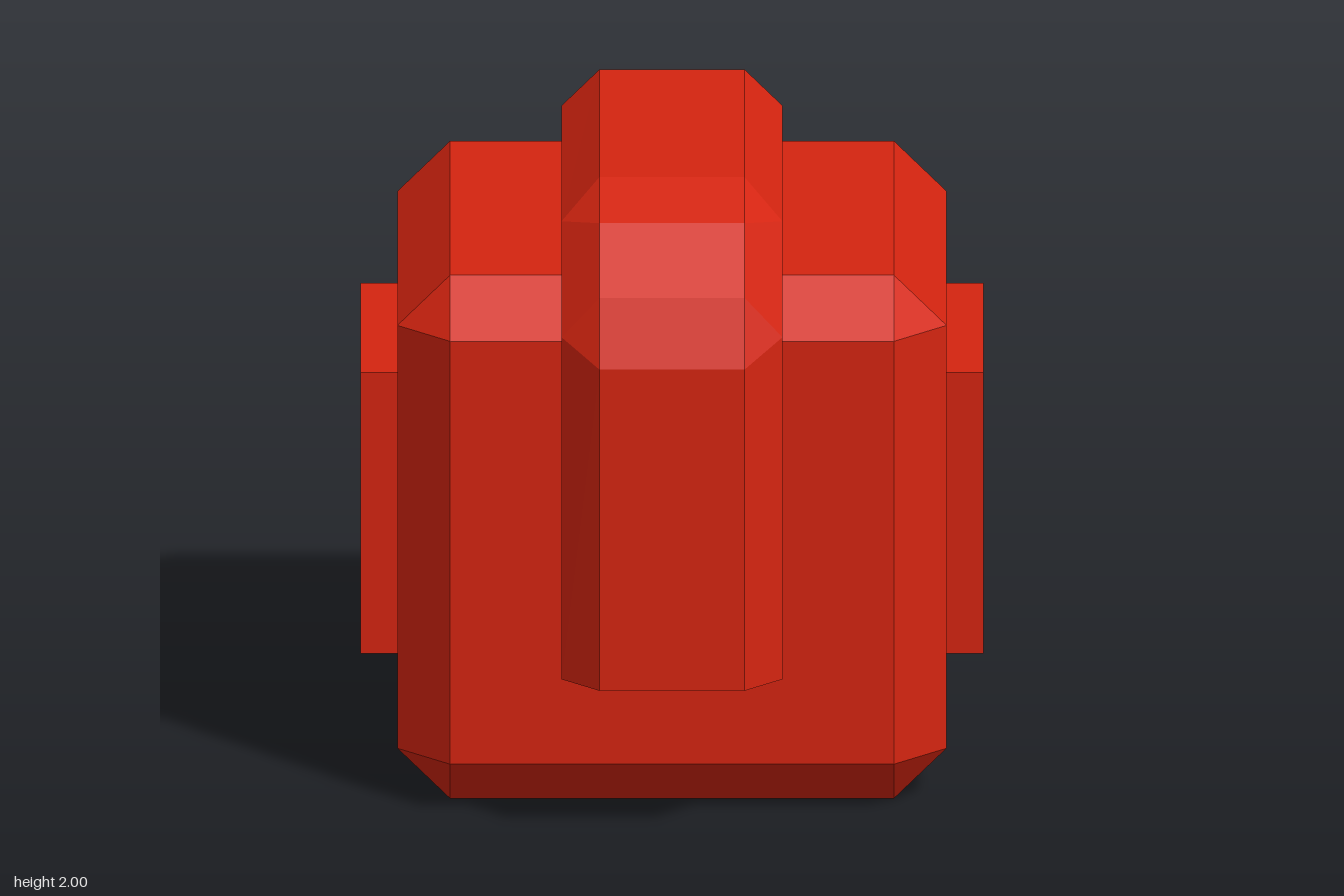
import * as THREE from 'three';
import { ConvexGeometry } from 'three/addons/geometries/ConvexGeometry.js';

// Flat-faced skin over rings of [x, y, z] points, with fan caps at the chosen ends
function loft(rings, closed, capStart) {
  const pos = [];
  const tri = (a, b, c) => pos.push(...a, ...b, ...c);
  const n = rings[0].length;
  for (let i = 0; i < rings.length - 1; i++) {
    for (let j = 0; j < (closed ? n : n - 1); j++) {
      const k = (j + 1) % n;
      const a = rings[i][j], b = rings[i][k], c = rings[i + 1][k], d = rings[i + 1][j];
      const same = (p, q) => p.every((v, m) => v === q[m]);
      if (!same(a, b) && !same(b, c)) tri(a, b, c);
      if (!same(c, d) && !same(d, a)) tri(a, c, d);
    }
  }
  const first = rings[0], last = rings[rings.length - 1];
  for (let j = 1; j < n - 1; j++) {
    tri(last[0], last[j], last[j + 1]);
    if (capStart) tri(first[0], first[j + 1], first[j]);
  }
  const g = new THREE.BufferGeometry();
  g.setAttribute('position', new THREE.Float32BufferAttribute(pos, 3));
  g.computeVertexNormals();
  return g;
}

// Cube with chamfered edges and triangular corners
function chamferedCube(half, c) {
  const pts = [];
  for (const x of [-1, 1]) for (const y of [-1, 1]) for (const z of [-1, 1]) {
    for (let axis = 0; axis < 3; axis++) {
      const p = [x, y, z].map((s, i) => s * (i === axis ? half : half - c));
      pts.push(new THREE.Vector3(...p));
    }
  }
  return new ConvexGeometry(pts);
}

// Cross-section of the crest: base, chamfer and outer points given as [z, y]
function crestRing(outer, chamfer, base, wide = 0.335, narrow = 0.22) {
  const at = (x, [z, y]) => [x, y, z];
  return [at(-wide, base), at(-wide, chamfer), at(-narrow, outer),
    at(narrow, outer), at(wide, chamfer), at(wide, base)];
}

export function createModel() {
  const model = new THREE.Group();
  const red = new THREE.MeshStandardMaterial({ color: 0xd42410 });
  red.name = 'red';
  const add = (name, geometry) => {
    const mesh = new THREE.Mesh(geometry, red);
    mesh.name = name;
    model.add(mesh);
    return mesh;
  };

  // Main body
  add('body', chamferedCube(0.8325, 0.16)).position.set(0, 0.8325, -0.1675);

  // Crest bending from the front over the top, with dished ends
  const low = [0.86, 1.58], high = [0.58, 1.86];
  const lowBase = [0.65, 1.49], highBase = [0.49, 1.65];
  add('crest', loft([
    crestRing([0.92, 0.56], [0.85, 0.56], [0.65, 0.56], 0.255, 0.187),
    crestRing([1, 0.5], [0.885, 0.5], [0.65, 0.5]),
    crestRing([0.98, 1.515], low, lowBase),
    crestRing([0.89, 1.715], low, lowBase),
    crestRing([0.71, 1.895], high, highBase),
    crestRing([0.515, 1.98], high, highBase),
    crestRing([-0.5, 2], [-0.5, 1.885], [-0.5, 1.65]),
    crestRing([-0.44, 1.92], [-0.44, 1.85], [-0.44, 1.65], 0.255, 0.187),
  ], false, true));

  // Square side pads with a dished face
  const square = (x, h) => [[x, h, h], [x, -h, h], [x, -h, -h], [x, h, -h]];
  const padGeometry = loft([square(0.82, 0.447), square(0.945, 0.447), square(0.885, 0.237)], true, false);
  for (const [name, turn] of [['leftPad', 0], ['rightPad', Math.PI]]) {
    const pad = add(name, padGeometry);
    pad.position.set(0, 0.837, -0.167);
    pad.rotation.y = turn;
  }
  return model;
}
